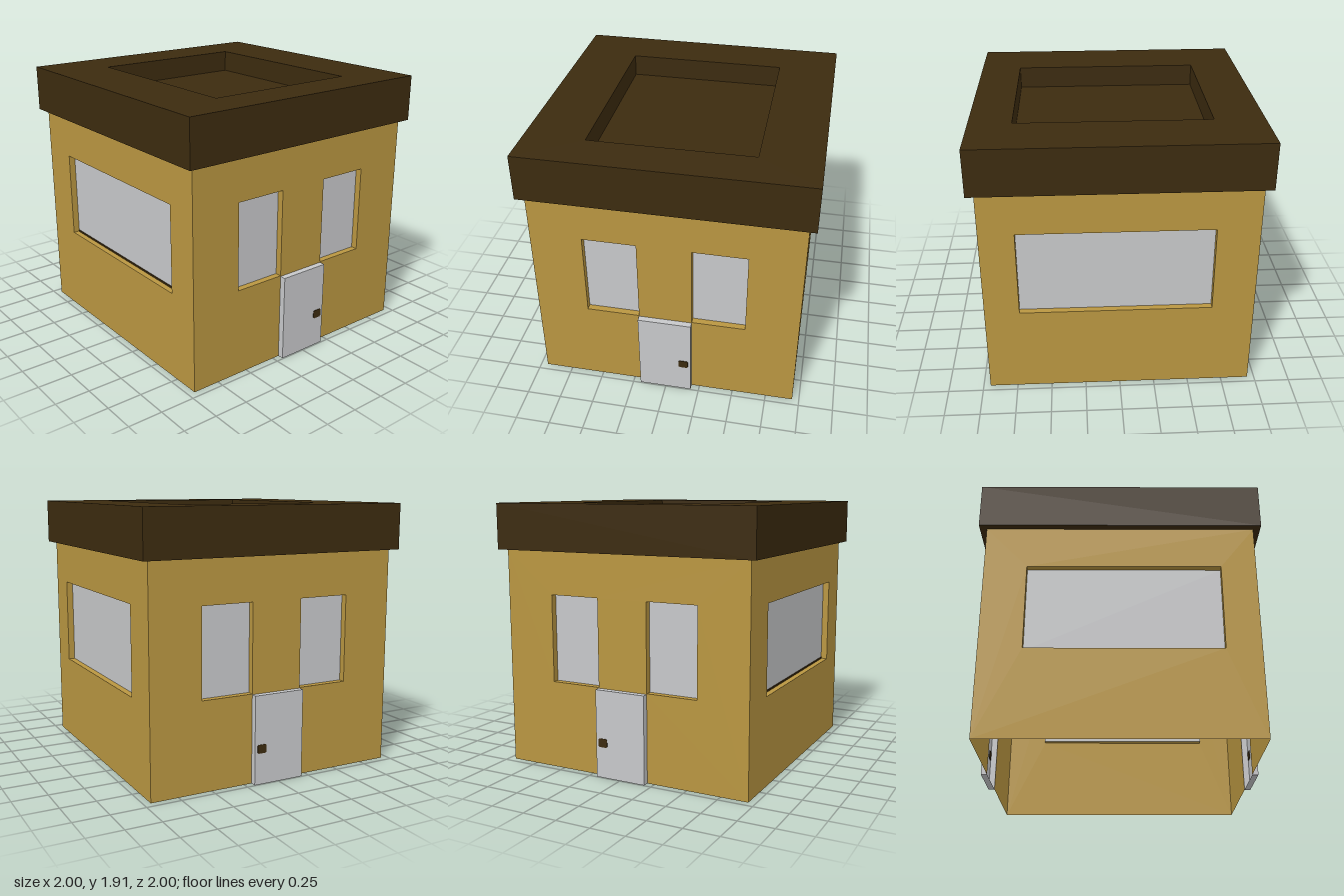
import * as THREE from 'three';

const ochre = new THREE.MeshStandardMaterial({ color: 0xb99641, side: THREE.DoubleSide });
ochre.name = 'ochre wall';
const grey = new THREE.MeshStandardMaterial({ color: 0xc7c8ca, side: THREE.DoubleSide });
grey.name = 'pale grey';
const brown = new THREE.MeshStandardMaterial({ color: 0x3c2b0f });
brown.name = 'dark brown';

const HALF = 0.95, EAVES = 1.583, TOP = 1.915;
const DOOR_TOP = 0.635, SILL = 0.64, LINTEL = 1.272;

function add(parent, name, geometry, material, x = 0, y = 0, z = 0) {
  const mesh = new THREE.Mesh(geometry, material);
  mesh.name = name;
  mesh.position.set(x, y, z);
  parent.add(mesh);
  return mesh;
}

function rectPath(x0, y0, x1, y1, PathType = THREE.Path) {
  const p = new PathType();
  p.moveTo(x0, y0);
  p.lineTo(x1, y0);
  p.lineTo(x1, y1);
  p.lineTo(x0, y1);
  p.closePath();
  return p;
}

// Four thin sides joining a wall opening to a panel set in front of or behind it
function addReveal(parent, name, [x0, y0, x1, y1], za, zb, material) {
  const w = x1 - x0, h = y1 - y0, d = Math.abs(zb - za);
  const cx = (x0 + x1) / 2, cy = (y0 + y1) / 2, cz = (za + zb) / 2;
  for (const x of [x0, x1])
    add(parent, name + 'Side', new THREE.PlaneGeometry(d, h).rotateY(Math.PI / 2), material, x, cy, cz);
  for (const y of [y0, y1])
    add(parent, name + 'Ledge', new THREE.PlaneGeometry(w, d).rotateX(-Math.PI / 2), material, cx, y, cz);
}

function addPanel(parent, name, [x0, y0, x1, y1], z, material) {
  add(parent, name, new THREE.PlaneGeometry(x1 - x0, y1 - y0), material, (x0 + x1) / 2, (y0 + y1) / 2, z);
}

// One wall facing local +z, with recessed windows and an optional projecting door
function makeWall(name, angle, windows, door, knobX) {
  const wall = new THREE.Group();
  wall.name = name;
  wall.rotation.y = angle;

  const outline = new THREE.Shape();
  outline.moveTo(-HALF, 0);
  if (door) {
    outline.lineTo(door[0], 0);
    outline.lineTo(door[0], DOOR_TOP);
    outline.lineTo(door[1], DOOR_TOP);
    outline.lineTo(door[1], 0);
  }
  outline.lineTo(HALF, 0);
  outline.lineTo(HALF, EAVES);
  outline.lineTo(-HALF, EAVES);
  outline.closePath();

  for (const [x0, x1] of windows) {
    const rect = [x0, SILL, x1, LINTEL];
    outline.holes.push(rectPath(...rect));
    addReveal(wall, 'windowReveal', rect, HALF, HALF - 0.047, ochre);
    addPanel(wall, 'windowPane', rect, HALF - 0.047, grey);
  }
  add(wall, 'wallSurface', new THREE.ShapeGeometry(outline), ochre, 0, 0, HALF);

  if (door) {
    const rect = [door[0], 0, door[1], DOOR_TOP];
    addReveal(wall, 'doorEdge', rect, HALF, 0.994, grey);
    addPanel(wall, 'doorPanel', rect, 0.994, grey);
    // Square knob with clipped corners, showing on both faces of the door
    const a = 0.035, b = 0.031, c = 0.008;
    const knob = new THREE.Shape([
      [-a + c, -b], [a - c, -b], [a, -b + c], [a, b - c],
      [a - c, b], [-a + c, b], [-a, b - c], [-a, -b + c],
    ].map(([x, y]) => new THREE.Vector2(x, y)));
    add(wall, 'doorKnob', new THREE.ExtrudeGeometry(knob, { depth: 0.009, bevelEnabled: false }),
      brown, knobX, 0.255, 0.989);
  }
  return wall;
}

export function createModel() {
  const model = new THREE.Group();
  model.name = 'house';

  const front = makeWall('frontWall', 0, [[-0.65, 0.705]]);
  // Dark strip along the foot of the front window
  add(front, 'windowStrip', new THREE.BoxGeometry(1.345, 0.012, 0.006), brown, 0.0275, SILL + 0.007, HALF - 0.043);
  model.add(
    front,
    makeWall('backWall', Math.PI, [[-0.705, 0.65]]),
    makeWall('leftWall', Math.PI / 2, [[-0.577, -0.195], [0.19, 0.573]], [-0.195, 0.19], 0.135),
    makeWall('rightWall', -Math.PI / 2, [[0.195, 0.577], [-0.573, -0.19]], [-0.19, 0.195], -0.135),
  );

  // Flat overhanging roof with a sunken middle
  const roof = new THREE.Group();
  roof.name = 'roof';
  const rim = rectPath(-1, -1, 1, 1, THREE.Shape);
  rim.holes.push(rectPath(-0.65, -0.573, 0.705, 0.577));
  const rimGeometry = new THREE.ExtrudeGeometry(rim, { depth: TOP - EAVES, bevelEnabled: false });
  add(roof, 'roofRim', rimGeometry.rotateX(-Math.PI / 2), brown, 0, EAVES, 0);
  const floorTop = TOP - 0.16;
  add(roof, 'roofFloor', new THREE.BoxGeometry(1.355, floorTop - EAVES, 1.15), brown,
    0.0275, (floorTop + EAVES) / 2, -0.002);
  model.add(roof);

  return model;
}
